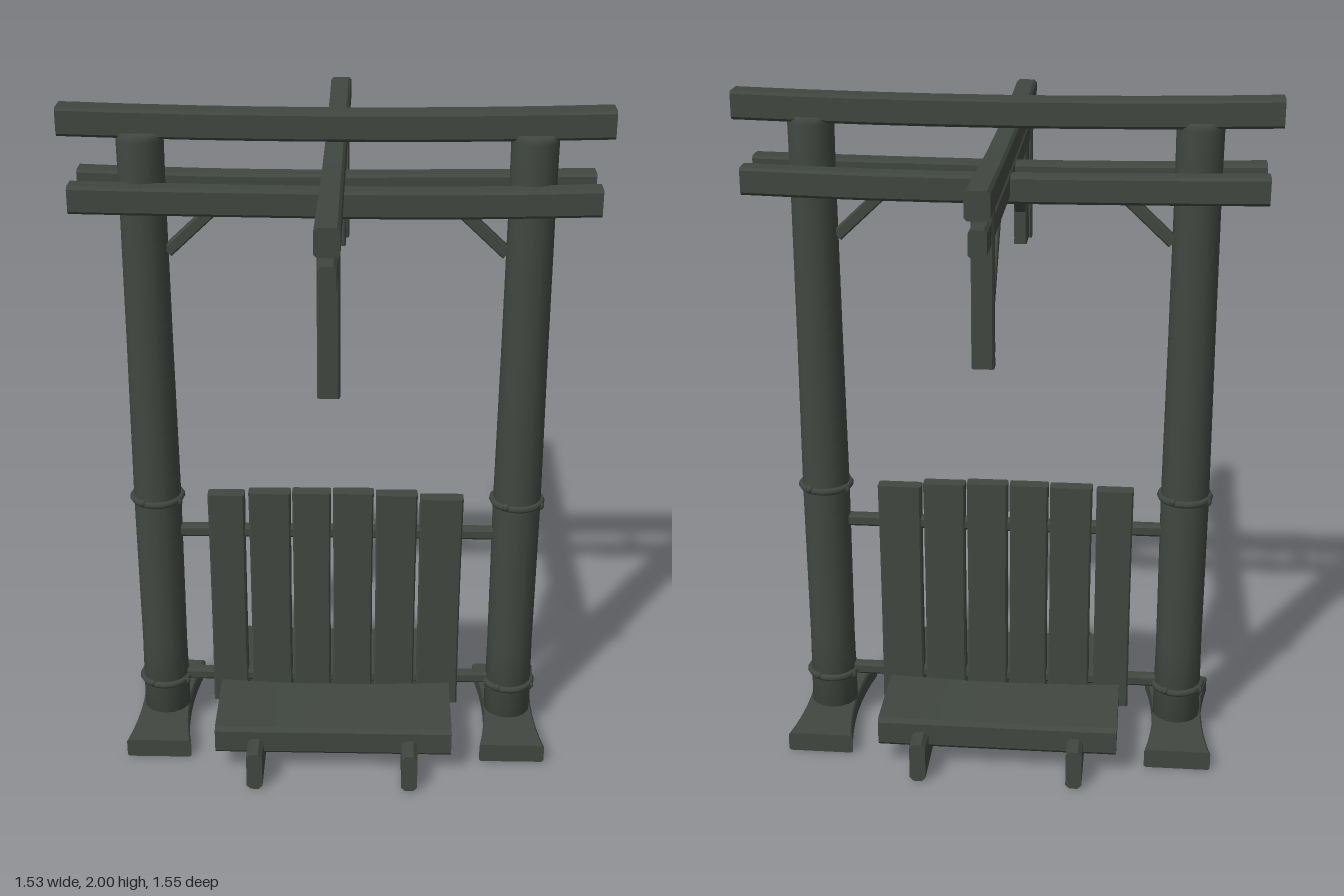
import * as THREE from 'three';

const wood = new THREE.MeshStandardMaterial({ color: 0x414740 });
wood.name = 'dark weathered wood';

// Chamfered timber running along z, with bowed sides: sag lowers the middle, waist narrows it.
function timberGeometry(w, h, length, { sag = 0, waist = 0, sway = 0, chamfer = 0.008 } = {}) {
  const x = w / 2, y = h / 2, c = chamfer;
  const shape = new THREE.Shape([
    [-x + c, -y], [x - c, -y], [x, -y + c], [x, y - c],
    [x - c, y], [-x + c, y], [-x, y - c], [-x, -y + c],
  ].map(p => new THREE.Vector2(...p)));
  const geo = new THREE.ExtrudeGeometry(shape, { depth: length, steps: 8, bevelEnabled: false });
  geo.translate(0, 0, -length / 2);
  const pos = geo.attributes.position;
  for (let i = 0; i < pos.count; i++) {
    const t = pos.getZ(i) / (length / 2);
    const mid = 1 - t * t;
    pos.setX(i, pos.getX(i) * (1 - waist * mid) + sway * Math.sin(t * 4));
    pos.setY(i, pos.getY(i) - sag * mid);
  }
  geo.computeVertexNormals();
  return geo;
}

export function createModel() {
  const model = new THREE.Group();
  const add = (name, geo, x = 0, y = 0, z = 0) => {
    const mesh = new THREE.Mesh(geo, wood);
    mesh.name = name;
    mesh.position.set(x, y, z);
    model.add(mesh);
    return mesh;
  };
  const beamX = (name, w, h, len, x, y, z, opts) =>
    add(name, timberGeometry(w, h, len, opts).rotateY(Math.PI / 2), x, y, z);
  const beamZ = (name, w, h, len, x, y, z, opts) =>
    add(name, timberGeometry(w, h, len, opts), x, y, z);
  const beamY = (name, w, d, len, x, y, z, opts) =>
    add(name, timberGeometry(w, d, len, opts).rotateX(-Math.PI / 2), x, y, z);
  // Straight strut between two points
  const strut = (name, a, b, w) => {
    const from = new THREE.Vector3(...a), to = new THREE.Vector3(...b);
    const mesh = beamZ(name, w, w, from.distanceTo(to), 0, 0, 0, { chamfer: 0.004 });
    mesh.position.copy(from).lerp(to, 0.5);
    mesh.lookAt(to);
  };

  // Posts, feet, rope bands and corner braces
  for (const s of [-1, 1]) {
    const side = s > 0 ? 'left' : 'right';
    const px = s * 0.545;
    const profile = [[0, 0.04], [0.073, 0.04], [0.07, 0.3], [0.072, 0.8], [0.068, 1.3],
      [0.066, 1.75], [0.067, 1.91], [0.06, 1.93], [0, 1.93]];
    add(side + 'Post', new THREE.LatheGeometry(profile.map(p => new THREE.Vector2(...p)), 16), px, 0, 0);
    beamZ(side + 'Foot', 0.2, 0.06, 0.46, s * 0.548, 0.03, -0.008, { waist: 0.24, chamfer: 0.006 });
    for (const y of [0.165, 0.805]) {
      add(side + 'RopeBand', new THREE.TorusGeometry(0.073, 0.011, 6, 20).rotateX(Math.PI / 2), px, y, 0);
      for (let i = 0; i < 4; i++) {
        const a = i * Math.PI / 2 + 0.5;
        add(side + 'RopeKnot', new THREE.SphereGeometry(0.012, 6, 5),
          px + 0.077 * Math.cos(a), y + 0.005 * (i % 2 ? 1 : -1), 0.077 * Math.sin(a));
      }
    }
    strut(side + 'Brace', [s * 0.48, 1.585, 0], [s * 0.31, 1.745, 0], 0.034);
  }

  // Long roof beams
  beamX('topBeam', 0.085, 0.08, 1.53, -0.005, 1.96, -0.008, { sag: 0.012, waist: 0.08 });
  beamX('frontTieBeam', 0.072, 0.078, 1.465, -0.005, 1.762, 0.075, { sag: 0.01, waist: 0.12, sway: -0.004 });
  beamX('backTieBeam', 0.072, 0.078, 1.465, -0.005, 1.762, -0.09, { sag: 0.01, waist: 0.12, sway: 0.004 });

  // Cross beams with hanging boards at both ends
  beamZ('upperCrossBeam', 0.064, 0.074, 1.555, -0.005, 1.868, 0, { sag: 0.014, waist: 0.08 });
  beamZ('lowerCrossBeam', 0.046, 0.07, 1.545, -0.005, 1.773, 0, { sag: 0.008 });
  for (const s of [-1, 1]) {
    const end = s > 0 ? 'front' : 'back';
    beamY(end + 'HangerBoard', 0.04, 0.1, 0.35, -0.005, 1.6, s * 0.58, { waist: 0.05, chamfer: 0.004 });
    beamY(end + 'HangerPost', 0.058, 0.035, 0.415, -0.005, 1.628, s * 0.645, { chamfer: 0.005 });
    strut(end + 'HangerBrace', [-0.005, 1.545, s * 0.525], [-0.005, 1.755, s * 0.325], 0.034);
  }

  // Back panel planks: [left edge, right edge, top]
  const planks = [[-0.392, -0.28, 0.815], [-0.268, -0.14, 0.822], [-0.135, -0.018, 0.824],
    [-0.012, 0.112, 0.825], [0.118, 0.245, 0.82], [0.252, 0.384, 0.808]];
  for (const [x0, x1, top] of planks) {
    beamY('panelPlank', x1 - x0, 0.045, top - 0.08, (x0 + x1) / 2, (top + 0.08) / 2, 0,
      { waist: 0.03, chamfer: 0.005 });
  }
  for (const y of [0.17, 0.688]) beamX('panelRail', 0.036, 0.038, 1.04, 0, y, 0);

  // A seat on each side of the panel, on two runners
  for (const s of [-1, 1]) {
    beamX(s > 0 ? 'frontSeat' : 'backSeat', 0.28, 0.092, 0.72, -0.004, 0.12, s * 0.165,
      { waist: 0.06, sag: 0.006, chamfer: 0.012 });
  }
  for (const x of [-0.24, 0.228]) beamZ('seatRunner', 0.048, 0.125, 0.755, x, 0.063, 0.003, { chamfer: 0.012 });

  return model;
}
